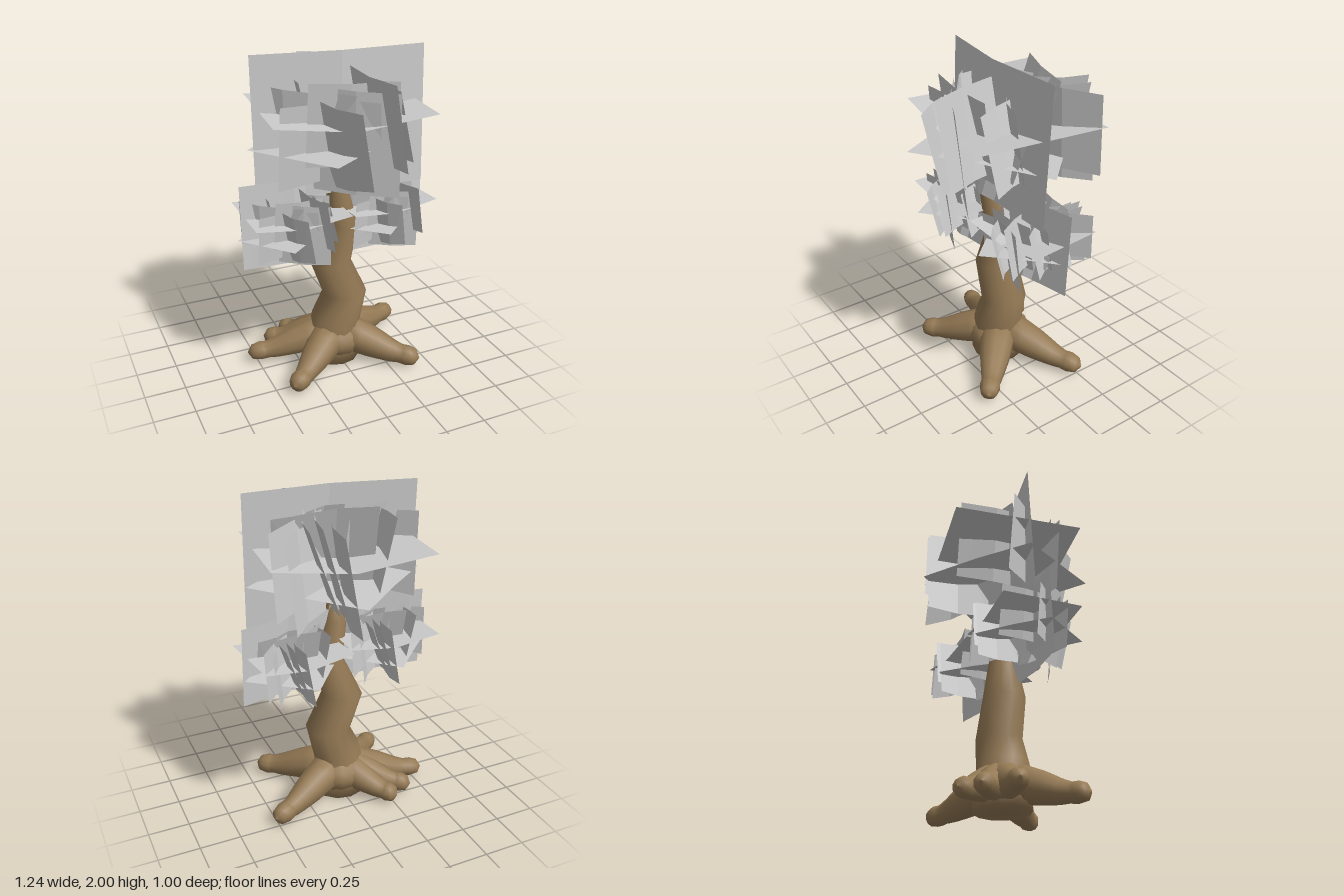
import * as THREE from 'three';
import { mergeVertices } from 'three/addons/utils/BufferGeometryUtils.js';

const bark = new THREE.MeshStandardMaterial({ color: 0x957a55 });
bark.name = 'bark';
const foliage = new THREE.MeshStandardMaterial({ color: 0xcacaca, side: THREE.DoubleSide, flatShading: true });
foliage.name = 'foliage';

// Tapering limb through [x, y, z, radius] points
function limb(name, pts, sides, step) {
  const curve = new THREE.CatmullRomCurve3(pts.map(p => new THREE.Vector3(p[0], p[1], p[2])));
  curve.getPointAt = curve.getPoint;
  curve.getTangentAt = curve.getTangent;
  const n = (pts.length - 1) * step;
  let geo = new THREE.TubeGeometry(curve, n, 1, sides);
  const pos = geo.attributes.position, v = new THREE.Vector3();
  for (let i = 0; i < pos.count; i++) {
    const ring = Math.floor(i / (sides + 1));
    const k = Math.min(Math.floor(ring / step), pts.length - 2);
    const r = THREE.MathUtils.lerp(pts[k][3], pts[k + 1][3], ring / step - k);
    const c = curve.getPoint(ring / n);
    v.fromBufferAttribute(pos, i).sub(c).multiplyScalar(r).add(c);
    pos.setXYZ(i, v.x, v.y, v.z);
  }
  geo.deleteAttribute('uv');
  geo.deleteAttribute('normal');
  geo = mergeVertices(geo, 1e-5);
  geo.computeVertexNormals();
  const mesh = new THREE.Mesh(geo, bark);
  mesh.name = name;
  return mesh;
}

// Four-cornered leaf sheet, folded along its middle by bow
function leaf(corners, bow) {
  const [a, b, c, d] = corners.map(p => new THREE.Vector3(...p));
  const normal = b.clone().sub(a).cross(d.clone().sub(a)).normalize().multiplyScalar(bow);
  const low = a.clone().lerp(b, 0.5).add(normal);
  const high = d.clone().lerp(c, 0.5).add(normal);
  const geo = new THREE.BufferGeometry().setFromPoints([a, low, b, d, high, c]);
  geo.setIndex([0, 1, 4, 0, 4, 3, 1, 2, 5, 1, 5, 4]);
  geo.computeVertexNormals();
  return geo;
}

// Upright leaves: ends x1, z1, x2, z2, bottom, top, sideways lean
const UPRIGHT = [
  [-0.50, -0.01, 0.54, 0.07, 1.17, 2.00, -0.02],
  [0.10, 0.08, 0.18, 0.49, 1.38, 1.92, 0.05],
  [0.10, -0.10, 0.20, -0.44, 1.38, 1.92, 0.07],
  [0.12, -0.10, 0.51, -0.32, 1.38, 1.90, 0.02],
  [-0.46, -0.12, -0.16, 0.16, 1.35, 1.83, 0.02],
  [-0.20, 0.14, 0.22, 0.40, 1.20, 1.85, 0.03],
  [-0.15, 0.18, 0.00, 0.45, 1.28, 1.78, 0.06],
  [0.24, 0.00, 0.32, 0.29, 1.36, 1.83, 0.06],
  [-0.42, 0.20, 0.20, 0.06, 1.30, 1.76, 0.02],
  [-0.15, -0.34, -0.21, 0.10, 1.38, 1.88, 0.05],
  [0.03, -0.08, 0.10, -0.45, 1.25, 1.86, 0.05],
  [-0.14, -0.22, 0.30, -0.10, 1.42, 1.94, -0.08],
  [-0.02, 0.02, 0.20, 0.05, 1.24, 1.92, -0.12],
  [-0.14, 0.20, 0.06, 0.16, 1.26, 1.83, 0.12],
  [0.14, -0.05, 0.25, -0.41, 1.40, 1.90, 0.08],
  [0.15, -0.12, 0.42, -0.35, 1.30, 1.85, 0.03],
  [-0.10, -0.07, 0.37, 0.08, 1.40, 1.88, -0.08],
  [-0.26, 0.21, 0.22, 0.22, 1.36, 1.88, 0.03],
  [-0.20, 0.10, 0.12, 0.36, 1.40, 1.80, 0.03],
  [-0.27, 0.00, 0.05, -0.18, 1.30, 1.90, -0.05],
  [0.12, 0.00, 0.36, 0.12, 1.38, 1.84, 0.03],
];

// Level leaves
const LEVEL = [
  [[-0.49, 1.68, 0.32], [0.45, 1.68, 0.42], [0.53, 1.68, -0.35], [-0.41, 1.68, -0.45]],
  [[-0.20, 1.485, 0.50], [0.55, 1.475, 0.02], [0.04, 1.445, -0.50], [-0.53, 1.465, -0.03]],
];

function leafGeometries() {
  const list = UPRIGHT.map(([x1, z1, x2, z2, y0, y1, lean], i) => {
    const len = Math.hypot(x2 - x1, z2 - z1);
    const nx = -(z2 - z1) / len * lean, nz = (x2 - x1) / len * lean;
    const skew = i === 0 ? 0 : (i % 2 ? 0.03 : -0.03);
    return leaf([
      [x1 - nx, y0 + skew, z1 - nz], [x2 - nx, y0, z2 - nz],
      [x2 + nx, y1 - Math.abs(skew), z2 + nz], [x1 + nx, y1, z1 + nz],
    ], i === 0 ? 0.05 : 0.025);
  });
  LEVEL.forEach((corners, i) => list.push(leaf(corners, i ? 0.01 : -0.06)));
  return list.map(g => g.translate(-0.02, -1.585, 0.01));
}

export function createModel() {
  const tree = new THREE.Group();
  tree.name = 'tree';

  // Crooked trunk with sharp bends
  tree.add(limb('trunk', [
    [-0.02, 0.005, 0, 0.001], [-0.02, 0.012, 0, 0.17], [-0.01, 0.12, 0, 0.17],
    [0, 0.28, 0.01, 0.155], [0.06, 0.46, 0.01, 0.14], [-0.035, 0.69, 0.005, 0.128],
    [0.045, 0.94, 0.03, 0.09], [-0.01, 1.17, 0.05, 0.07], [0, 1.30, 0.055, 0.035],
    [0, 1.305, 0.055, 0.001],
  ], 12, 1));

  // Swollen base where the roots meet
  const base = new THREE.Mesh(new THREE.SphereGeometry(1, 14, 8), bark);
  base.name = 'trunkBase';
  base.scale.set(0.19, 0.14, 0.2);
  base.position.set(0, 0.15, 0);
  tree.add(base);

  // Spreading roots with rounded tips: tip x, tip z, thickness
  const roots = new THREE.Group();
  roots.name = 'roots';
  [
    [-0.42, 0.35, 1], [0.42, 0.38, 1], [0.53, -0.26, 1],
    [-0.56, -0.12, 0.95], [-0.40, -0.27, 0.95], [-0.26, -0.35, 0.95],
  ].forEach(([x, z, s]) => {
    const at = (f, y, r) => [x * f, y, z * f, r * s];
    roots.add(limb('root', [
      at(0.08, 0.18, 0.07), at(0.2, 0.165, 0.115), at(0.45, 0.125, 0.098),
      at(0.66, 0.09, 0.074), at(0.78, 0.078, 0.06), at(0.86, 0.074, 0.064),
      at(0.95, 0.07, 0.05), at(1, 0.07, 0.001),
    ], 10, 2));
  });
  tree.add(roots);

  // One large crown and two smaller side clusters sharing the same leaves
  const geometries = leafGeometries();
  [
    ['crown', [0.02, 1.585, -0.01], 1, 0],
    ['rightCluster', [-0.29, 1.022, 0.02], 0.62, 0.1],
    ['leftCluster', [0.295, 1.003, -0.02], 0.605, 0.2],
  ].forEach(([name, p, s, turn]) => {
    const cluster = new THREE.Group();
    cluster.name = name;
    geometries.forEach(g => {
      const mesh = new THREE.Mesh(g, foliage);
      mesh.name = 'leafSheet';
      cluster.add(mesh);
    });
    cluster.position.set(...p);
    cluster.scale.setScalar(s);
    cluster.rotation.y = turn;
    tree.add(cluster);
  });
  return tree;
}
